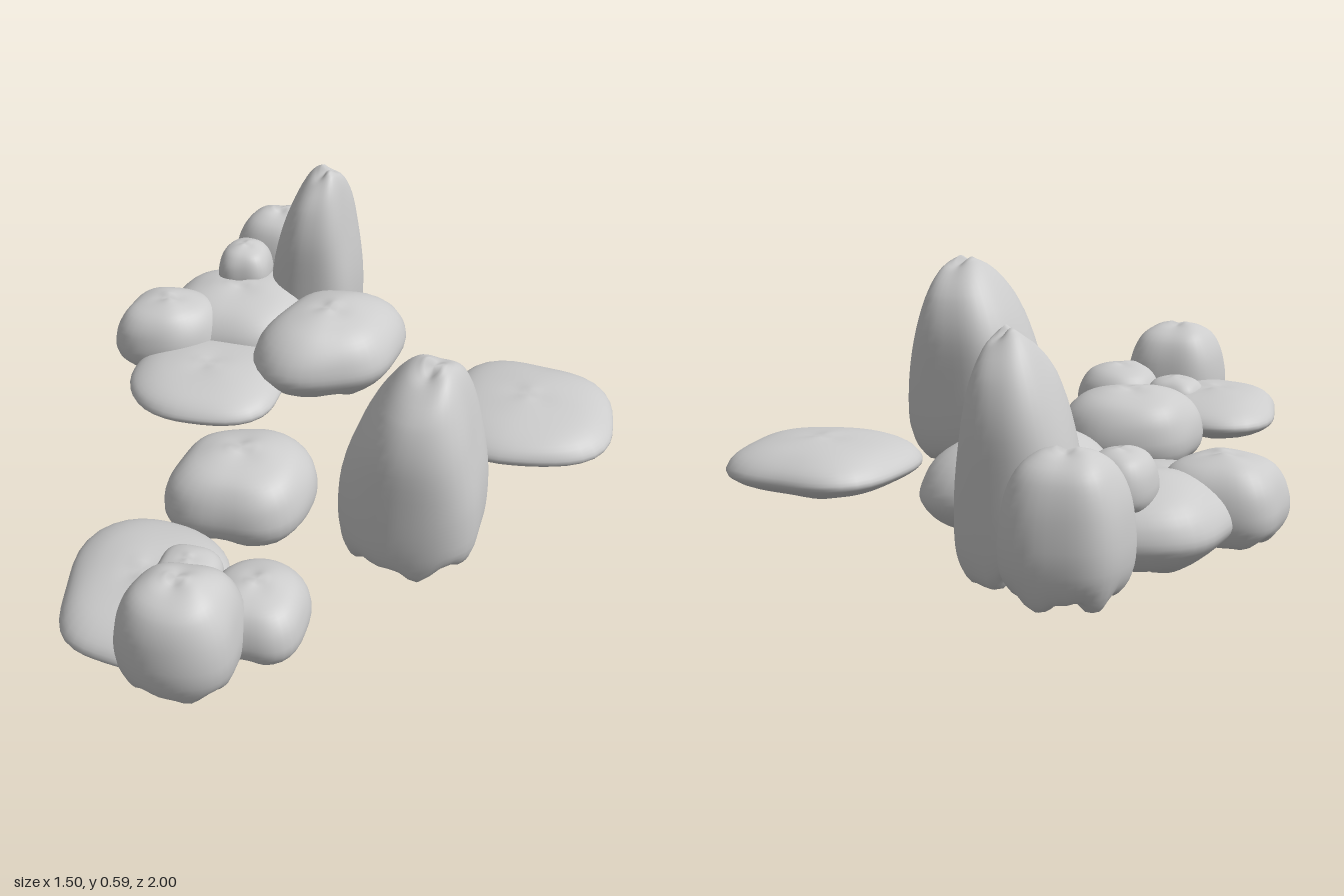
import * as THREE from 'three';

const SEGMENTS = 40, LEVELS = 28;

// Side profiles: height fraction, width scale and (if different) depth scale
const PILLAR = [[0, .5, .5], [.04, .86, .88], [.15, .98, .98], [.4, .95, 1], [.65, .77, .98], [.84, .55, .78], [.96, .33, .46], [1, .12, .2]];
const BOULDER = [[0, .5], [.04, .8], [.2, .97], [.4, 1], [.65, .93], [.85, .74], [.96, .45], [1, .15]];
const SLAB = [[0, .32], [.06, .6], [.22, .87], [.42, 1], [.65, .93], [.86, .7], [.97, .4], [1, .12]];

// Rounded-square plan, drawn out along a diagonal by skew and fitted into x and z ranges
function planOutline([x0, x1], [z0, z1], skew, seed) {
  const points = [];
  for (let i = 0; i < SEGMENTS; i++) {
    const a = i / SEGMENTS * Math.PI * 2;
    const square = (Math.abs(Math.cos(a)) ** 2.7 + Math.abs(Math.sin(a)) ** 2.7) ** (-1 / 2.7);
    const r = square * (1 + skew * Math.sin(2 * a) + .025 * Math.sin(3 * a + seed) + .015 * Math.sin(5 * a + seed * 2));
    points.push(new THREE.Vector3(-r * Math.cos(a), 0, -r * Math.sin(a)));
  }
  const { min, max } = new THREE.Box3().setFromPoints(points);
  points.forEach(p => p.set(
    THREE.MathUtils.mapLinear(p.x, min.x, max.x, x0, x1), 0,
    THREE.MathUtils.mapLinear(p.z, min.z, max.z, z0, z1)));
  return points;
}

// Stack scaled copies of the plan up the profile, with soft dents and a folded underside
function rockGeometry(profile, xRange, [bottom, top], zRange, skew, seed) {
  const outline = planOutline(xRange, zRange, skew, seed);
  const cx = (xRange[0] + xRange[1]) / 2, cz = (zRange[0] + zRange[1]) / 2;
  const height = top - bottom;
  const rough = height * .045;
  const lean = profile === PILLAR ? .12 * (xRange[1] - xRange[0]) : 0;
  const curve = new THREE.CatmullRomCurve3(profile.map(([t, sx, sz = sx]) => new THREE.Vector3(t, sx, sz)));
  const position = [], index = [];

  for (let j = 0; j <= LEVELS; j++) {
    const { x: t, y: sx, z: sz } = curve.getPoint(j / LEVELS);
    outline.forEach((p, i) => {
      const a = i / SEGMENTS * Math.PI * 2;
      const dent = 1 - .036 * (1 + Math.sin(3 * a + 5 * t + seed) * Math.sin(6 * t + seed * 2 + a)) * Math.abs(t - .35);
      const fold = Math.max(0, 1 - t / .18) * rough * (.8 * Math.sin(5 * a + seed) + .45 * Math.sin(9 * a + seed * 3));
      const crown = Math.max(0, t - .8) * .1 * height * (Math.sin(2 * a + seed) - 1);
      position.push(
        cx + (p.x - cx) * sx * dent + lean * t ** 3,
        Math.max(0, bottom + t * height + fold + crown),
        cz + (p.z - cz) * sz * dent);
    });
  }
  const low = position.length / 3, high = low + 1, last = LEVELS * SEGMENTS;
  position.push(cx, bottom + rough * .5, cz, cx + lean, top - .02 * height, cz);

  for (let i = 0; i < SEGMENTS; i++) {
    const n = (i + 1) % SEGMENTS;
    for (let r = 0; r < last; r += SEGMENTS) {
      const s = r + SEGMENTS;
      index.push(r + n, r + i, s + i, r + n, s + i, s + n);
    }
    index.push(low, i, n, last + n, last + i, high);
  }
  const geometry = new THREE.BufferGeometry();
  geometry.setAttribute('position', new THREE.Float32BufferAttribute(position, 3));
  geometry.setIndex(index);
  geometry.computeVertexNormals();
  return geometry;
}

export function createModel() {
  const group = new THREE.Group();
  group.name = 'rockFormation';
  const stone = new THREE.MeshStandardMaterial({ color: 0xcccccc });
  const rock = (name, profile, xRange, yRange, zRange, skew = 0) => {
    const seed = 1 + group.children.length * 1.7;
    const mesh = new THREE.Mesh(rockGeometry(profile, xRange, yRange, zRange, skew, seed), stone);
    mesh.name = name;
    group.add(mesh);
  };

  // Free-standing rocks
  rock('tallFrontRock', PILLAR, [.09, .47], [.03, .59], [.06, .43]);
  rock('middleBoulder', BOULDER, [-.36, .02], [.03, .25], [.06, .42], -.05);
  rock('sideSlab', SLAB, [.26, .75], [.04, .175], [-.54, -.06]);

  // Front cluster
  rock('frontSlab', SLAB, [-.5, -.09], [.04, .17], [.42, .94], .06);
  rock('frontBoulder', BOULDER, [-.28, .01], [.04, .33], [.72, 1], -.03);
  rock('frontSideRock', BOULDER, [-.12, .13], [.05, .22], [.56, .84]);
  rock('frontPebble', BOULDER, [-.27, -.1], [.1, .2], [.56, .73]);

  // Back cluster
  rock('tallBackRock', PILLAR, [-.37, -.09], [.02, .58], [-.88, -.6], -.03);
  rock('backBoulder', BOULDER, [-.52, -.24], [.03, .36], [-1, -.75], -.04);
  rock('backPebble', BOULDER, [-.52, -.36], [.18, .32], [-.78, -.6]);
  rock('outerBoulder', BOULDER, [-.75, -.45], [.055, .26], [-.56, -.28], -.07);
  rock('clusterSlab', SLAB, [-.66, -.2], [.04, .16], [-.46, -.04]);
  rock('clusterCore', SLAB, [-.66, -.2], [.025, .24], [-.8, -.38], -.04);
  rock('clusterBoulder', SLAB, [-.32, .1], [.03, .28], [-.68, -.22], -.12);
  return group;
}
